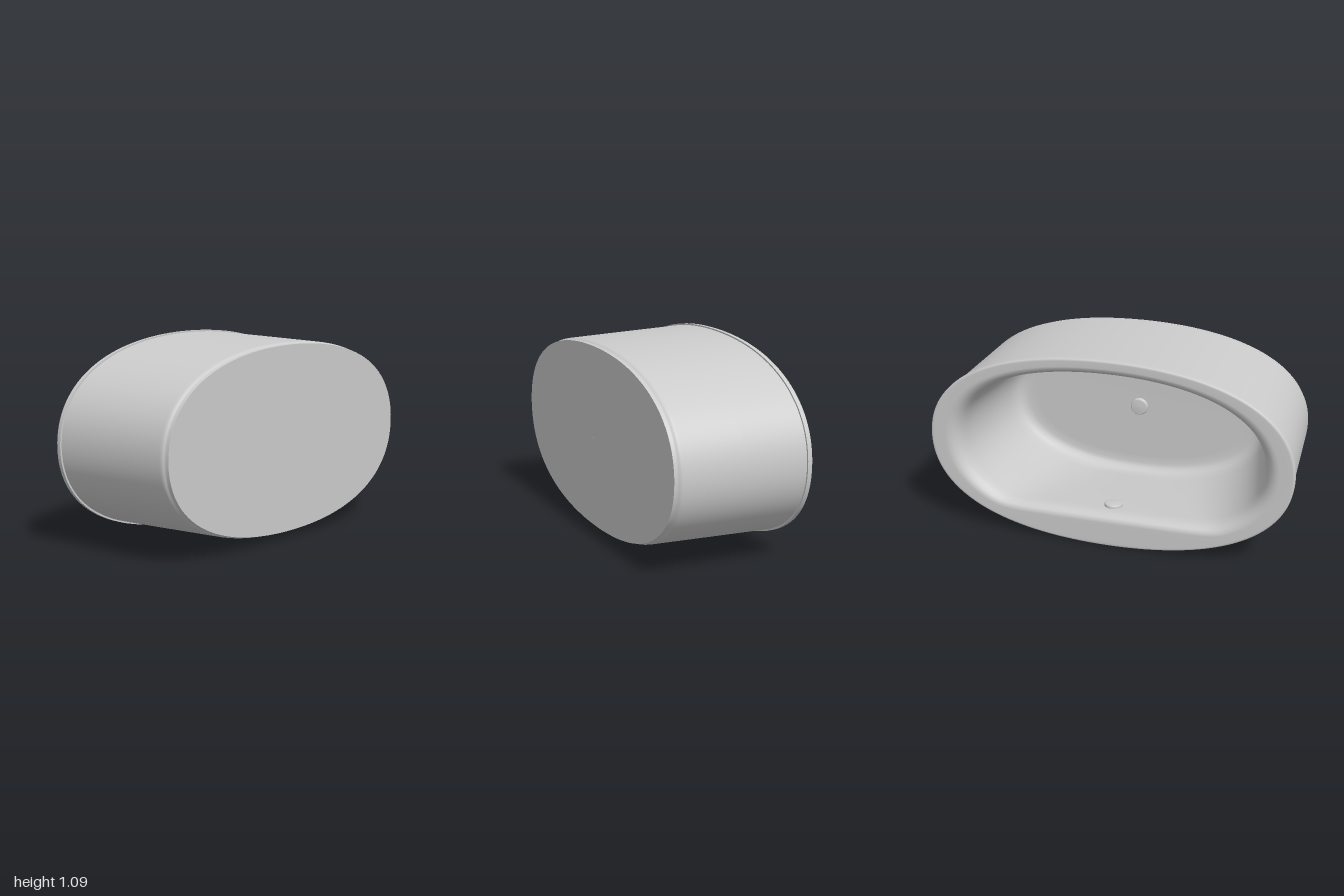
import * as THREE from 'three';

const CY = 0.545; // height of the oval's centre
const QUARTER = 36; // steps per quarter of the oval
const SEG = QUARTER * 4;
const FULL = 0.63; // handle length: a little fuller than an ellipse

// One quarter of the unit oval, from its end to its top
const quarter = new THREE.CubicBezierCurve(
  new THREE.Vector2(1, 0), new THREE.Vector2(1, FULL),
  new THREE.Vector2(FULL, 1), new THREE.Vector2(0, 1),
).getPoints(QUARTER);

// Point j on an oval whose lower side is softly flattened at -flat
function ovalPoint(j, rx, ry, flat) {
  const q = Math.floor(j / QUARTER), i = j % QUARTER;
  const p = quarter[q % 2 ? QUARTER - i : i];
  const x = p.x * rx * (q === 1 || q === 2 ? -1 : 1);
  let y = p.y * ry * (q > 1 ? -1 : 1);
  if (flat < ry) {
    const d = y + flat, k = Math.min(0.03, (ry - flat) * 0.4);
    y = -flat + (d + Math.sqrt(d * d + k * k)) / 2;
  }
  return [x, CY + y];
}

// Smooth skin through oval sections [half width, half height, z, flat]
function loft(sections) {
  const pos = [], idx = [];
  sections.forEach(([rx, ry, z, flat = ry], i) => {
    for (let j = 0; j < SEG; j++) {
      const [x, y] = ovalPoint(j, rx, ry, flat);
      pos.push(x, y, z);
      if (i === 0) continue;
      const k = (j + 1) % SEG, a = (i - 1) * SEG, b = i * SEG;
      idx.push(a + j, a + k, b + j, a + k, b + k, b + j);
    }
  });
  const g = new THREE.BufferGeometry();
  g.setAttribute('position', new THREE.Float32BufferAttribute(pos, 3));
  g.setIndex(idx);
  g.computeVertexNormals();
  return g;
}

export function createModel() {
  const group = new THREE.Group();
  group.name = 'bathtub';
  const mat = new THREE.MeshStandardMaterial({ color: 0xcccccc });
  const add = (name, geo) => {
    const mesh = new THREE.Mesh(geo, mat);
    mesh.name = name;
    group.add(mesh);
    return mesh;
  };

  // Basin: floor, coved corner, sloping wall, rounded mouth, flat rim and lip
  add('basin', loft([
    [0.001, 0.001, 0.306],
    [0.62, 0.32, 0.306],
    [0.675, 0.365, 0.304],
    [0.71, 0.389, 0.294],
    [0.733, 0.404, 0.275],
    [0.748, 0.412, 0.245],
    [0.76, 0.417, 0.20, 0.405],
    [0.797, 0.432, -0.05, 0.383],
    [0.832, 0.447, -0.27, 0.363],
    [0.843, 0.453, -0.315, 0.361],
    [0.857, 0.462, -0.345, 0.365],
    [0.878, 0.475, -0.364, 0.376],
    [0.90, 0.489, -0.373, 0.392],
    [0.92, 0.50, -0.375, 0.408],
    [0.985, 0.532, -0.375, 0.525],
    [0.993, 0.538, -0.3745],
    [0.998, 0.5425, -0.371],
    [1.0, 0.544, -0.366],
    [1.0, 0.544, -0.346],
  ]));
  add('rimUnderside', loft([[1.0, 0.544, -0.346], [0.99, 0.536, -0.346]]));

  // Tapered outer shell, rounded in to the foot
  add('outerShell', loft([
    [0.99, 0.536, -0.346], [0.979, 0.525, 0],
    [0.968, 0.514, 0.325], [0.967, 0.513, 0.338],
    [0.964, 0.51, 0.346], [0.959, 0.506, 0.351],
    [0.9565, 0.5035, 0.357], [0.956, 0.503, 0.375],
  ]));
  add('underside', loft([[0.956, 0.503, 0.375], [0.001, 0.001, 0.375]]));

  // Low round caps for the drain and the overflow
  const profile = [
    [0.05, -0.01], [0.05, 0.014], [0.048, 0.019], [0.043, 0.022], [0.0001, 0.024],
  ].map(([r, h]) => new THREE.Vector2(r, h));
  const cap = new THREE.LatheGeometry(profile, 40);
  const drain = add('drain', cap);
  drain.position.set(0, CY, 0.306);
  drain.rotation.x = -Math.PI / 2;
  const overflow = add('overflow', cap);
  overflow.position.set(0, CY - 0.367, -0.24);
  overflow.rotation.x = 0.08;

  return group;
}
